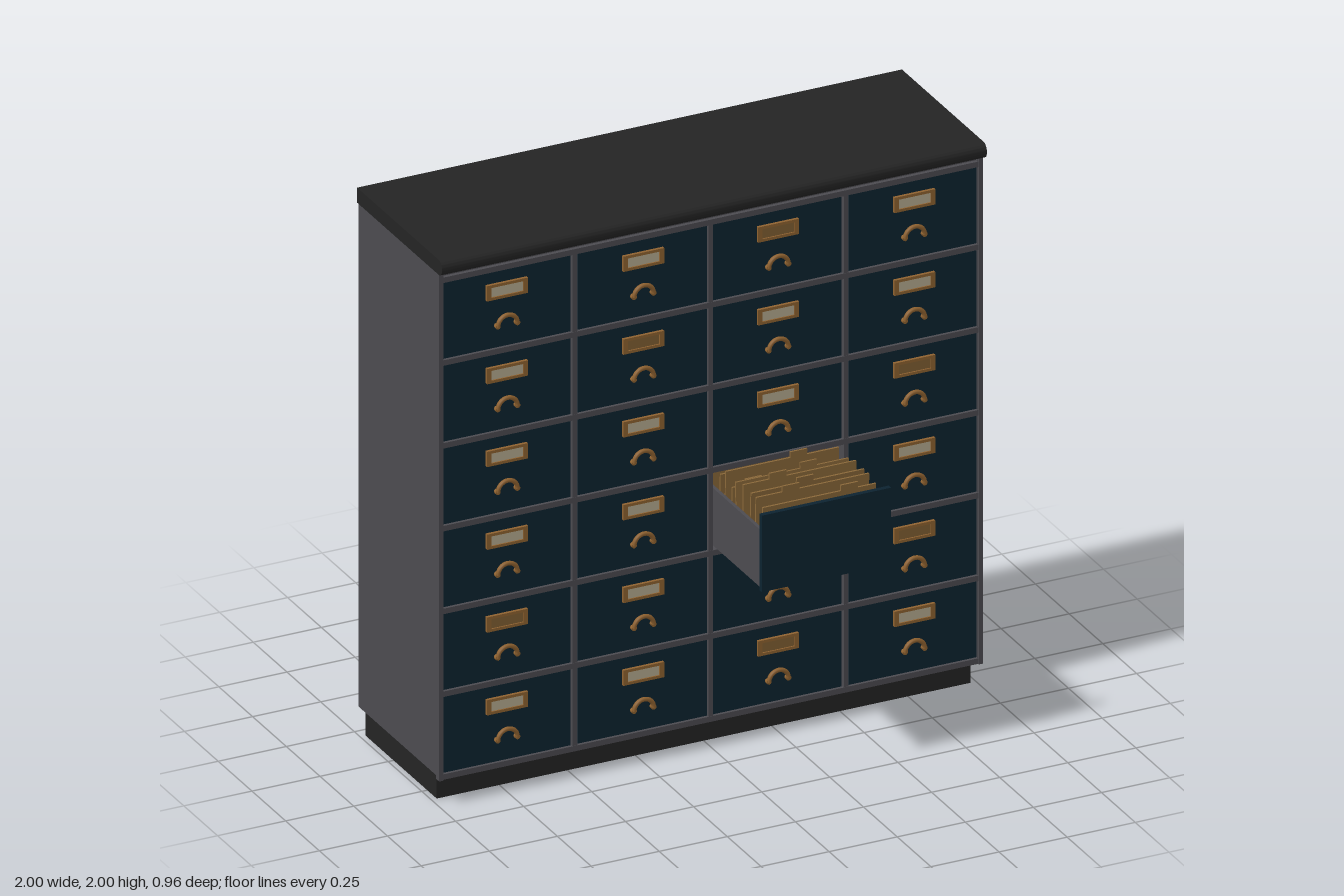
import * as THREE from 'three';
import { toCreasedNormals } from 'three/addons/utils/BufferGeometryUtils.js';

const mat = (name, color, side = THREE.FrontSide) => {
  const m = new THREE.MeshStandardMaterial({ color, side });
  m.name = name;
  return m;
};

export function createModel() {
  const root = new THREE.Group();
  root.name = 'drawerCabinet';
  const M = {
    body: mat('grey metal', 0x4c4b50),
    dark: mat('charcoal', 0x242424),
    front: mat('deep blue', 0x0c2330),
    brass: mat('brass', 0x8f6230),
    plate: mat('brown plate', 0x805f33),
    card: mat('cream card', 0xb5ab90),
    folder: mat('tan folder', 0x8a6839),
  };

  const add = (parent, name, geo, material, x = 0, y = 0, z = 0) => {
    const m = new THREE.Mesh(geo, material);
    m.name = name;
    m.position.set(x, y, z);
    parent.add(m);
    return m;
  };
  // Box given by its minimum and maximum on each axis
  const box = (parent, name, material, x0, x1, y0, y1, z0, z1) =>
    add(parent, name, new THREE.BoxGeometry(x1 - x0, y1 - y0, z1 - z0), material,
      (x0 + x1) / 2, (y0 + y1) / 2, (z0 + z1) / 2);

  // Layout of the drawer grid
  const ROWS = 6, COLS = 4, PITCH = 0.303, BASE = 0.102;
  const colX = [-0.7475, -0.2475, 0.2475, 0.7475];
  const rowY = (r) => BASE + r * PITCH + 0.152;
  const OPEN = { row: 2, col: 2 };

  // Plinth and carcass
  box(root, 'plinth', M.dark, -0.98, 0.98, 0, 0.1, -0.46, 0.07);
  box(root, 'backPanel', M.body, -0.995, 0.995, 0.1, 1.945, -0.48, -0.46);
  for (const s of [-1, 1]) {
    add(root, 'sidePanel', new THREE.BoxGeometry(0.015, 1.845, 0.58), M.body, s * 0.9875, 1.0225, -0.17);
    add(root, 'frontStile', new THREE.BoxGeometry(0.015, 1.855, 0.025), M.body, s * 0.9905, 1.0175, 0.1125);
  }

  // Full-depth shelves and dividers
  for (let r = 0; r <= ROWS; r++) {
    const y = BASE + r * PITCH;
    box(root, 'shelf', M.body, -0.985, 0.985, y - 0.01, y + 0.01, -0.46, 0.123);
  }
  for (const x of [-0.4975, 0, 0.4975]) {
    box(root, 'divider', M.body, x - 0.009, x + 0.009, 0.1, 1.93, -0.46, 0.122);
  }
  box(root, 'topRail', M.body, -0.985, 0.985, 1.925, 1.945, -0.46, 0.11);

  // Worktop with a rounded front nosing
  const p = new THREE.Shape();
  p.moveTo(-0.48, 1.945);
  p.lineTo(0.13, 1.945);
  p.absarc(0.125, 1.97, 0.025, -Math.PI / 2, 0, false);
  p.absarc(0.125, 1.975, 0.025, 0, Math.PI / 2, false);
  p.lineTo(-0.48, 2);
  p.closePath();
  const top = new THREE.ExtrudeGeometry(p, { depth: 2, bevelEnabled: false, curveSegments: 6 });
  top.rotateY(-Math.PI / 2).translate(1, 0, 0);
  add(root, 'worktop', toCreasedNormals(top, 0.7), M.dark);

  // Label holder frame and arched pull
  const rect = (P, w, h) => {
    const s = new P();
    s.moveTo(-w / 2, -h / 2);
    s.lineTo(w / 2, -h / 2);
    s.lineTo(w / 2, h / 2);
    s.lineTo(-w / 2, h / 2);
    s.closePath();
    return s;
  };
  const frameShape = rect(THREE.Shape, 0.15, 0.056);
  frameShape.holes.push(rect(THREE.Path, 0.118, 0.036));
  const frameGeo = new THREE.ExtrudeGeometry(frameShape, { depth: 0.011, bevelEnabled: false });
  const cardGeo = new THREE.BoxGeometry(0.122, 0.04, 0.006);
  const pullGeo = new THREE.TorusGeometry(0.036, 0.008, 8, 16, Math.PI);
  const footGeo = new THREE.CylinderGeometry(0.0095, 0.0095, 0.014, 10).rotateX(Math.PI / 2);

  // Holders without a card, keyed by row and column from the bottom left
  const empty = new Set(['5,2', '4,1', '3,3', '1,0', '1,3', '0,2']);

  for (let r = 0; r < ROWS; r++) {
    for (let c = 0; c < COLS; c++) {
      if (r === OPEN.row && c === OPEN.col) continue;
      const d = new THREE.Group();
      d.name = 'drawer';
      d.position.set(colX[c], rowY(r), 0.115);
      root.add(d);
      add(d, 'drawerFront', new THREE.BoxGeometry(0.474, 0.281, 0.02), M.front, 0, 0, -0.01);
      add(d, 'labelFrame', frameGeo, M.brass, 0, 0.068, 0);
      const bare = empty.has(`${r},${c}`);
      add(d, bare ? 'labelPlate' : 'labelCard', cardGeo, bare ? M.plate : M.card, 0, 0.068, 0.003);
      add(d, 'pull', pullGeo, M.brass, 0, -0.06, 0.012);
      for (const s of [-1, 1]) add(d, 'pullFoot', footGeo, M.brass, s * 0.036, -0.06, 0.007);
    }
  }

  // Open drawer: plain front and a tray running back into the cabinet
  const o = new THREE.Group();
  o.name = 'openDrawer';
  root.add(o);
  const x0 = 0.018, x1 = 0.477, y0 = 0.725, y1 = 0.935, zb = -0.08, zf = 0.462;
  box(o, 'openDrawerFront', M.front, 0.0105, 0.4845, 0.72, 1.0, zf, 0.48);
  box(o, 'trayFloor', M.body, x0, x1, y0, y0 + 0.012, zb, zf);
  box(o, 'traySide', M.body, x0, x0 + 0.012, y0, y1, zb, zf);
  box(o, 'traySide', M.body, x1 - 0.012, x1, y0, y1, zb, zf);
  box(o, 'trayBack', M.body, x0, x1, y0, y1, zb, zb + 0.012);

  // Leaning file folders with staggered tabs
  const folderTops = [1.0, 1.015, 1.015, 1.02, 1.005, 0.975, 1.012, 0.985, 0.98];
  const tabX = [0.11, -0.08, -0.01, -0.08, 0.06, -0.13, 0.06, 0, -0.06];
  folderTops.forEach((t, i) => {
    const h = t - 0.74;
    const f = new THREE.Group();
    f.name = 'folder';
    f.position.set(0.2475, 0.74, 0.415 - i * 0.045);
    f.rotation.x = [0.04, 0.02, 0.05, 0.0, -0.04][i % 5];
    o.add(f);
    add(f, 'folderSheet', new THREE.BoxGeometry(0.415, h, 0.007), M.folder, 0, h / 2, 0);
    add(f, 'folderTab', new THREE.BoxGeometry(0.062, 0.022, 0.007), M.folder, tabX[i], h + 0.01, 0);
  });

  return root;
}
